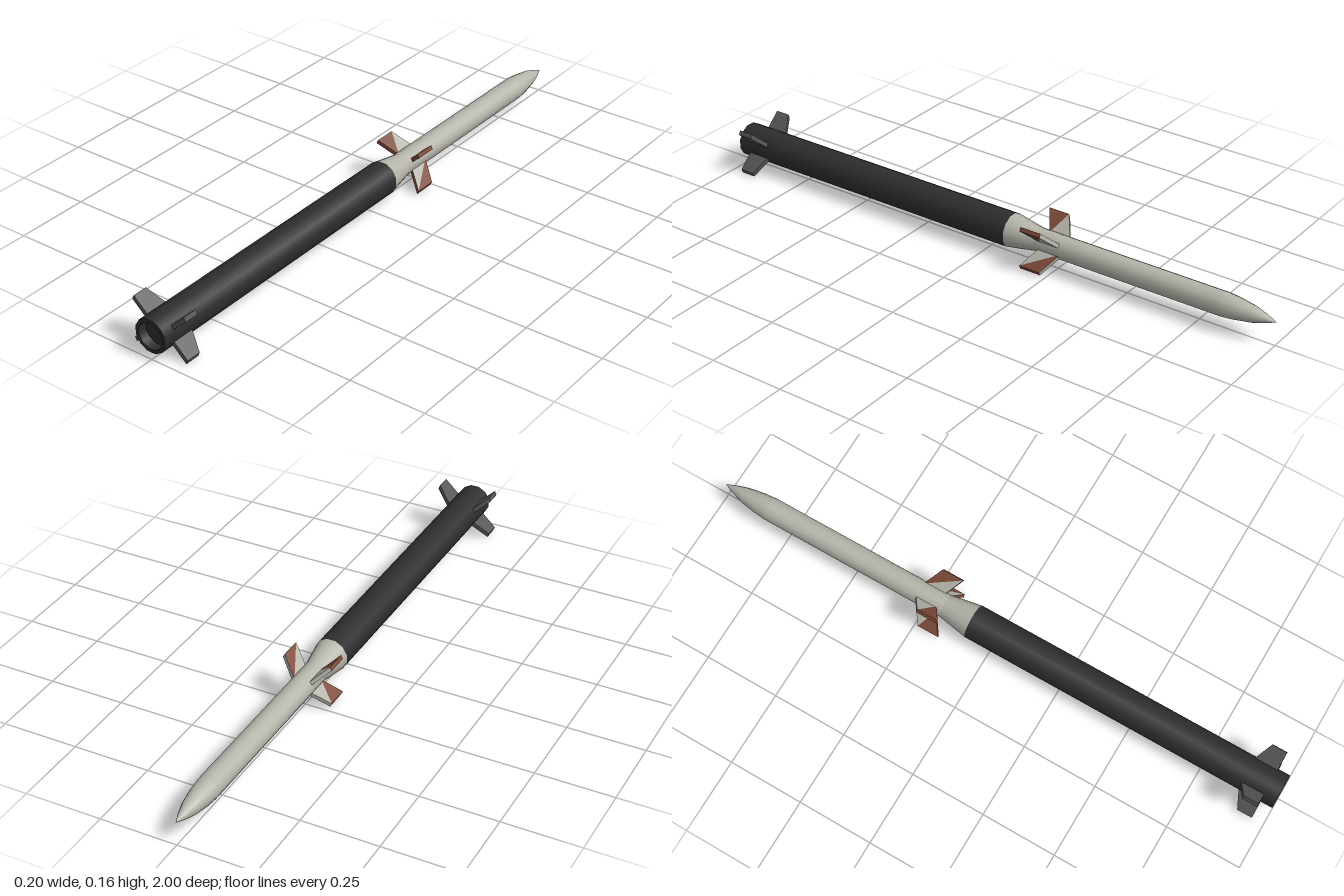
import * as THREE from 'three';

const AXIS = 0.079; // height of the body's centre line
const SIDES = 12;

const colour = (name, hex) => {
  const m = new THREE.MeshStandardMaterial({ color: hex });
  m.name = name;
  return m;
};

// Surface of revolution along z; profile points are [radius, z], tail to nose
function turned(name, profile, material) {
  const pts = profile.map(([r, z]) => new THREE.Vector2(r, -z));
  const geo = new THREE.LatheGeometry(pts, SIDES, Math.PI / SIDES);
  geo.rotateX(-Math.PI / 2);
  const mesh = new THREE.Mesh(geo, material);
  mesh.name = name;
  mesh.position.y = AXIS;
  return mesh;
}

// Swept fin. upper/lower: tip corners in xy; z: [rootLead, tipLead, tipTrail, rootTrail]
function fin(name, { upper, lower, span, z }, sx, sy, base, tipPaint) {
  const corners = ([x, y]) => z.map((zz, i) => {
    const d = i === 0 || i === 3 ? span : 0;
    return [(x - d * 0.73) * sx, (y - d * 0.68) * sy, zz];
  });
  const mirrored = sx * sy < 0;
  const [RL, TL, TT, RT] = [0, 1, 2, 3];
  const a = corners(upper), b = corners(lower);
  const baseTris = [], tipTris = [];
  const tri = (list, p, q, r) => list.push(...(mirrored ? [p, r, q] : [p, q, r]));

  // Broad faces, each split along a diagonal between the two paints
  const face = (c, alongTrail, flip) => {
    const add = (list, i, j, k) => flip ? tri(list, c[i], c[k], c[j]) : tri(list, c[i], c[j], c[k]);
    if (alongTrail) {
      add(tipTris, RL, TL, TT);
      add(baseTris, RL, TT, RT);
    } else {
      add(tipTris, TL, TT, RT);
      add(baseTris, RL, TL, RT);
    }
  };
  face(a, !mirrored, true);
  face(b, mirrored, false);

  // Thin edges: leading, tip, trailing and root
  [baseTris, tipTris, tipTris, baseTris].forEach((list, i) => {
    const j = (i + 1) % 4;
    tri(list, a[i], a[j], b[j]);
    tri(list, a[i], b[j], b[i]);
  });

  const geo = new THREE.BufferGeometry();
  geo.setAttribute('position',
    new THREE.Float32BufferAttribute([...baseTris, ...tipTris].flat(), 3));
  geo.addGroup(0, baseTris.length, 0);
  geo.addGroup(baseTris.length, tipTris.length, 1);
  geo.computeVertexNormals();
  const mesh = new THREE.Mesh(geo, [base, tipPaint]);
  mesh.name = name;
  mesh.position.y = AXIS;
  return mesh;
}

export function createModel() {
  const group = new THREE.Group();
  group.name = 'rocket';

  const black = colour('boosterBlack', 0x2d2d2d);
  const pale = colour('paleGrey', 0xb5b5ab);
  const grey = colour('finGrey', 0x555555);
  const rust = colour('rustBrown', 0x7c4a38);

  const R = 0.056, r = 0.0385;

  // Booster: recessed tail, rim and long tube
  group.add(
    turned('nozzleFloor', [[0, 0.97], [0.044, 0.97]], black),
    turned('nozzleWall', [[0.044, 0.97], [0.044, 1]], black),
    turned('tailRim', [[0.044, 1], [R, 1]], black),
    turned('boosterTube', [[R, 1], [R, -0.08]], black),
  );

  // Upper stage: flared collar, slim tube and pointed nose
  group.add(
    turned('collar', [[R, -0.08], [r, -0.18]], pale),
    turned('forwardTube', [[r, -0.18], [r, -0.83]], pale),
    turned('nose', [[r, -0.83], [0.035, -0.87], [0.026, -0.925], [0.014, -0.965], [0, -1]], pale),
  );

  const tailFin = {
    upper: [0.092, 0.078], lower: [0.098, 0.064], span: 0.075,
    z: [0.88, 0.91, 0.96, 0.96],
  };
  const forwardFin = {
    upper: [0.077, 0.072], lower: [0.083, 0.06], span: 0.075,
    z: [-0.275, -0.235, -0.162, -0.2],
  };
  for (const sx of [1, -1]) {
    for (const sy of [1, -1]) {
      const where = (sy > 0 ? 'Upper' : 'Lower') + (sx > 0 ? 'Left' : 'Right');
      group.add(
        fin('tailFin' + where, tailFin, sx, sy, grey, grey),
        fin('forwardFin' + where, forwardFin, sx, sy, pale, rust),
      );
    }
  }
  return group;
}
